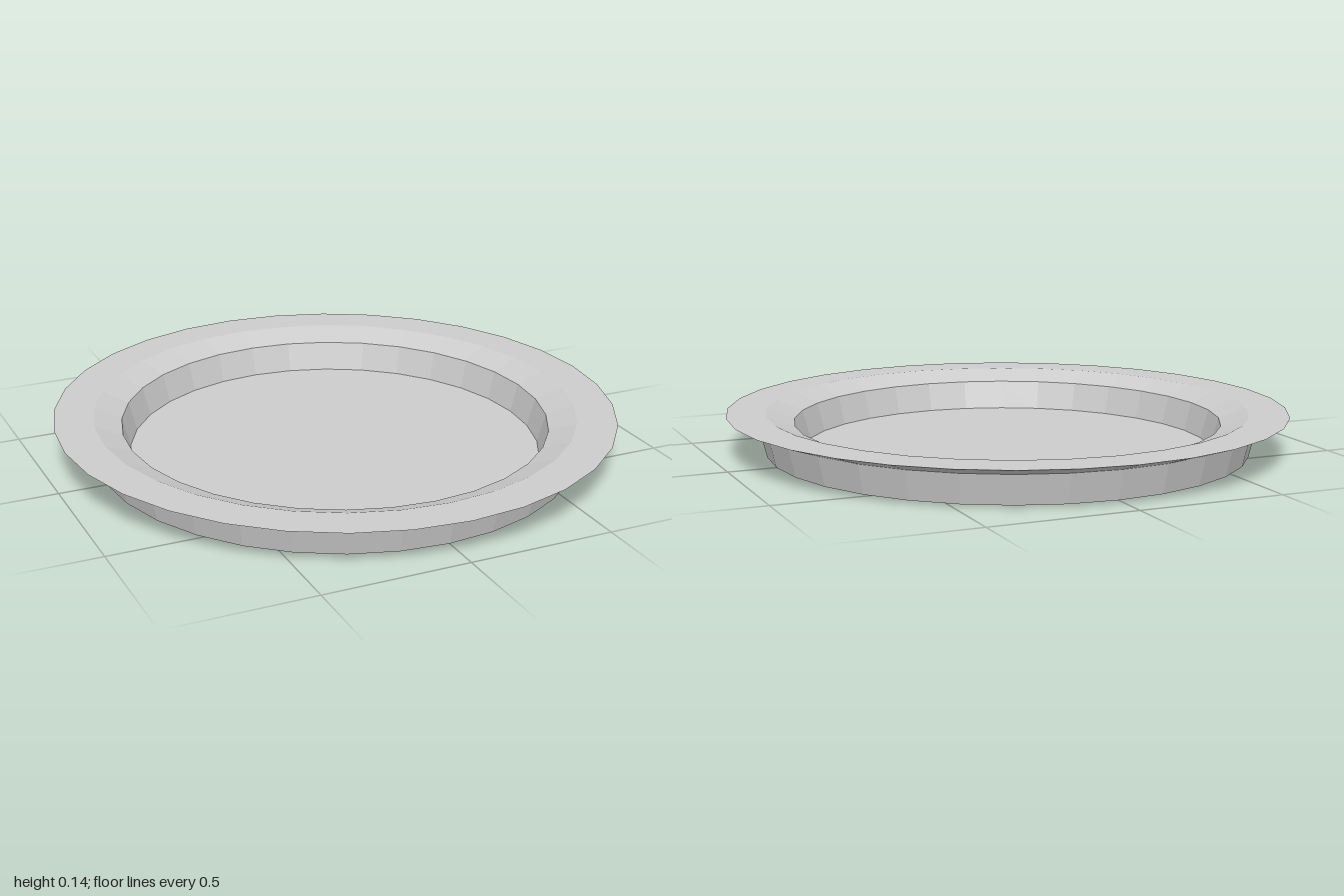
import * as THREE from 'three';

const SIDES = 32;

export function createModel() {
  const group = new THREE.Group();
  group.name = 'plate';
  const material = new THREE.MeshStandardMaterial({ color: 0xcccccc, flatShading: true });

  // Closed profile: underside, outer wall, flared rim, bevel, inner wall, floor
  const profile = [
    [0, 0], [0.86, 0], [0.886, 0.102], [1, 0.14],
    [0.859, 0.14], [0.761, 0.104], [0.733, 0.003], [0, 0.003],
  ].map(([r, y]) => new THREE.Vector2(r, y));

  const dish = new THREE.Mesh(new THREE.LatheGeometry(profile, SIDES), material);
  dish.name = 'dish';
  dish.scale.x = 0.97; // slightly oval
  group.add(dish);
  return group;
}
